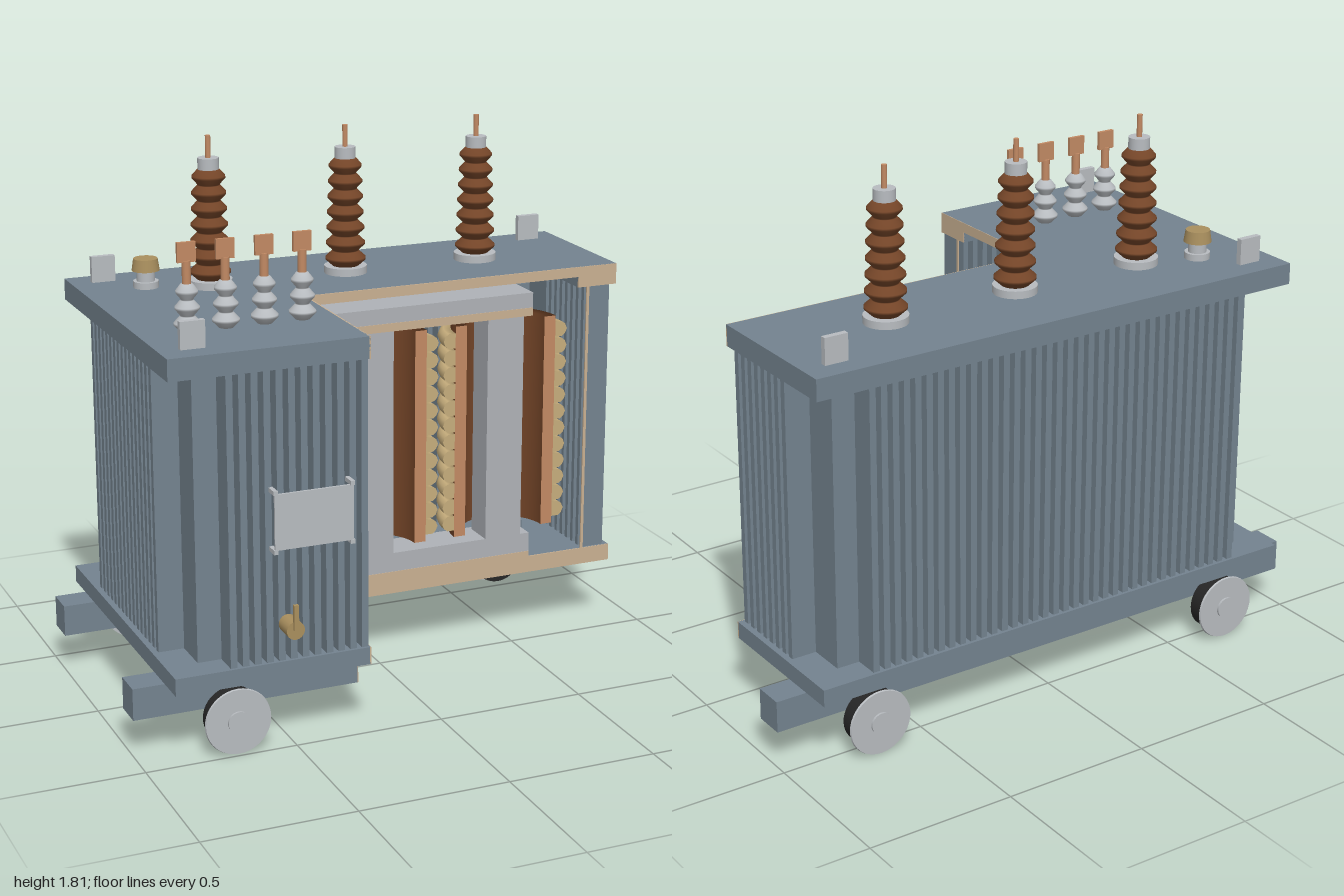
import * as THREE from 'three';

const mat = (name, color, side = THREE.FrontSide) => {
  const m = new THREE.MeshStandardMaterial({ color, side });
  m.name = name;
  return m;
};

export function createModel() {
  const root = new THREE.Group();
  const steel = mat('blue grey steel', 0x74838f, THREE.DoubleSide);
  const section = mat('cut face tan', 0xc9b092);
  const coreGrey = mat('core grey', 0xafb2b7);
  const metal = mat('light metal', 0xb8bcc0);
  const copper = mat('copper', 0xc28a64);
  const winding = mat('winding tan', 0xc6ad7c);
  const brown = mat('brown glaze', 0x744528);
  const brass = mat('brass', 0xa98f5e);
  const rubber = mat('black rubber', 0x262626);

  const ZC = -0.04;      // middle plane, also the long cut
  const XC = -0.245;     // short cut

  const add = (name, geo, m, x = 0, y = 0, z = 0, parent = root) => {
    const mesh = new THREE.Mesh(geo, m);
    mesh.name = name;
    mesh.position.set(x, y, z);
    parent.add(mesh);
    return mesh;
  };
  // Box given by its limits
  const box = (name, m, x0, x1, y0, y1, z0, z1) =>
    add(name, new THREE.BoxGeometry(x1 - x0, y1 - y0, z1 - z0), m, (x0 + x1) / 2, (y0 + y1) / 2, (z0 + z1) / 2);
  const cyl = (name, m, r, y0, y1, x, z, seg = 24, r2 = r) =>
    add(name, new THREE.CylinderGeometry(r2, r, y1 - y0, seg), m, x, (y0 + y1) / 2, z);
  // Horizontal plate from an x/z outline
  const plate = (name, m, pts, y0, y1) => {
    const shape = new THREE.Shape(pts.map(([x, z]) => new THREE.Vector2(x, -z)));
    const geo = new THREE.ExtrudeGeometry(shape, { depth: y1 - y0, bevelEnabled: false });
    return add(name, geo.rotateX(-Math.PI / 2), m, 0, y0, 0);
  };
  const rod = (name, m, a, b, r) => {
    const path = new THREE.LineCurve3(new THREE.Vector3(...a), new THREE.Vector3(...b));
    return add(name, new THREE.TubeGeometry(path, 1, r, 10), m);
  };
  const cutX = (name, y0, y1, z0, z1) => box(name, section, XC - 0.003, XC + 0.002, y0, y1, z0, z1);
  const cutZ = (name, x0, x1, y0, y1) => box(name, section, x0, x1, y0, y1, ZC - 0.003, ZC + 0.002);

  // Base, lid and the flange ring under the lid, all with the corner cut out
  const outline = [[0.895, ZC], [0.895, -0.575], [-0.895, -0.575], [-0.895, 0.495], [XC, 0.495], [XC, ZC]];
  plate('basePlate', steel, outline, 0.232, 0.29);
  plate('lid', steel, outline, 1.274, 1.308);
  plate('topFlange', steel, [...outline.slice(0, 5), [XC, 0.36], [-0.75, 0.36], [-0.75, -0.44], [0.75, -0.44], [0.75, ZC]], 1.237, 1.274);
  cutZ('baseCutLong', XC, 0.895, 0.232, 0.29);
  cutX('baseCutShort', 0.232, 0.29, ZC, 0.495);
  cutZ('lidCutLong', XC, 0.895, 1.274, 1.308);
  cutX('lidCutShort', 1.274, 1.308, ZC, 0.495);
  cutZ('flangeCutLong', 0.75, 0.895, 1.237, 1.274);
  cutX('flangeCutShort', 1.237, 1.274, 0.36, 0.495);

  // Corrugated tank wall: one folded sheet with hollow fins
  const plan = [];
  const wall = (x, z, dx, dz, length, first, count) => {
    const put = (u, out) => plan.push([x + dx * u - dz * out, z + dz * u + dx * out]);
    put(0, 0);
    for (let i = 0; i < count; i++) {
      const u = first + i * 0.04;
      put(u - 0.011, 0); put(u - 0.011, 0.085); put(u + 0.011, 0.085); put(u + 0.011, 0);
    }
    put(length, 0);
  };
  wall(0.79, ZC, 0, -1, 0.44, 0.02, 8);
  wall(0.79, -0.48, -1, 0, 1.58, 0.09, 36);
  wall(-0.79, -0.48, 0, 1, 0.88, 0.14, 16);
  wall(-0.79, 0.40, 1, 0, 0.545, 0.09, 12);
  const pos = [];
  for (let i = 0; i + 1 < plan.length; i++) {
    const [ax, az] = plan[i], [bx, bz] = plan[i + 1];
    if (Math.hypot(bx - ax, bz - az) < 1e-6) continue;
    pos.push(ax, 0.29, az, ax, 1.237, az, bx, 1.237, bz, ax, 0.29, az, bx, 1.237, bz, bx, 0.29, bz);
  }
  const sheet = new THREE.BufferGeometry();
  sheet.setAttribute('position', new THREE.Float32BufferAttribute(pos, 3));
  sheet.computeVertexNormals();
  add('corrugatedTank', sheet, steel);
  cutZ('tankCutRight', 0.783, 0.793, 0.29, 1.237);
  cutX('tankCutFront', 0.29, 1.237, 0.393, 0.403);

  // Rails
  box('backRail', steel, -1, 1, 0.126, 0.232, -0.467, -0.363);
  box('frontRail', steel, -1, XC, 0.126, 0.232, 0.283, 0.387);
  cutX('railCut', 0.126, 0.232, 0.283, 0.387);

  // Wheels with an outer rim disc
  for (const [x, z, s] of [[-0.69, 0.335, 1], [-0.69, -0.415, -1], [0.69, -0.415, -1]]) {
    const wheel = new THREE.Group();
    wheel.name = 'wheel';
    wheel.position.set(x, 0.11, z);
    wheel.rotation.x = s * Math.PI / 2;
    root.add(wheel);
    add('tyre', new THREE.CylinderGeometry(0.094, 0.094, 0.066, 40), rubber, 0, 0.118, 0, wheel);
    add('rimDisc', new THREE.CylinderGeometry(0.108, 0.11, 0.006, 40), metal, 0, 0.152, 0, wheel);
    add('hub', new THREE.CylinderGeometry(0.036, 0.036, 0.01, 24), metal, 0, 0.157, 0, wheel);
    add('innerHub', new THREE.CylinderGeometry(0.04, 0.04, 0.06, 24), metal, 0, 0.07, 0, wheel);
  }

  // Iron core: full on the closed side, halved at the cut
  for (const [x0, x1, front] of [[-0.58, XC, 0.09], [XC, 0.58, ZC]]) {
    box('topYoke', coreGrey, x0, x1, 1.157, 1.237, -0.17, front);
    box('bottomYoke', coreGrey, x0, x1, 0.31, 0.377, -0.17, front);
    box('coreFoot', steel, x0, x1, 0.29, 0.31, -0.17, front);
  }
  for (const x of [-0.48, 0, 0.48])
    box('coreLimb', coreGrey, x - 0.067, x + 0.067, 0.37, 1.165, -0.15, x < XC ? 0.07 : ZC);
  cutZ('topClampCut', XC, 0.58, 1.157, 1.185);
  cutZ('footCut', XC, 0.58, 0.29, 0.31);
  cutX('topYokeCut', 1.16, 1.19, ZC, 0.09);
  cutX('footCutShort', 0.29, 0.31, ZC, 0.09);
  box('topClamp', steel, -0.62, 0.62, 1.165, 1.235, -0.22, -0.17);
  box('bottomClamp', steel, -0.62, 0.62, 0.305, 0.375, -0.22, -0.17);

  // Windings: a closed ring profile turned fully or by half, with caps on the cut
  const ring = (name, m, capMat, pts, x, y, full) => {
    const profile = pts.map(([r, h]) => new THREE.Vector2(r, h));
    const geo = new THREE.LatheGeometry([...profile, profile[0]], full ? 48 : 28, full ? 0 : Math.PI / 2, full ? Math.PI * 2 : Math.PI);
    add(name, geo, m, x, y, ZC);
    if (full) return;
    for (const s of [1, -1]) {
      const cap = new THREE.Shape(profile.map(p => new THREE.Vector2(p.x * s, p.y)));
      add(name + 'Cut', new THREE.ShapeGeometry(cap), capMat, x, y, ZC);
    }
  };
  const h = 0.026;
  const disc = [[0.187, -h], [0.212, -h], [0.224, -h * 0.65], [0.231, 0], [0.224, h * 0.65], [0.212, h], [0.187, h]];
  const sleeve = [[0.145, 0.402], [0.187, 0.402], [0.187, 1.148], [0.145, 1.148]];
  for (const x of [-0.48, 0, 0.48]) {
    const full = x < XC;
    ring('innerWinding', brown, copper, sleeve, x, 0, full);
    for (let i = 0; i < 12; i++) ring('outerWindingDisc', winding, winding, disc, x, 0.452 + i * 0.0588, full);
  }

  // Ribbed insulator with tapering sheds
  const insulator = (name, m, x, z, y0, y1, sheds, rBase, rTop, core) => {
    const pts = [new THREE.Vector2(0, y0)];
    const step = (y1 - y0) / sheds;
    for (let i = 0; i < sheds; i++) {
      const r = rBase + (rTop - rBase) * i / (sheds - 1);
      const y = y0 + i * step;
      pts.push(new THREE.Vector2(r * core, y), new THREE.Vector2(r, y + step * 0.4),
        new THREE.Vector2(r, y + step * 0.55), new THREE.Vector2(r * core, y + step * 0.95));
    }
    pts.push(new THREE.Vector2(0, y1));
    add(name, new THREE.LatheGeometry(pts, 28), m, x, 0, z);
  };

  // Tall bushings
  for (const x of [-0.48, 0, 0.48]) {
    const z = -0.292;
    cyl('bushingFlange', metal, 0.072, 1.308, 1.333, x, z, 32);
    insulator('tallInsulator', brown, x, z, 1.333, 1.70, 7, 0.068, 0.055, 0.66);
    cyl('bushingCap', metal, 0.035, 1.69, 1.735, x, z);
    cyl('terminalRod', copper, 0.009, 1.73, 1.808, x, z, 12);
    cyl('innerLead', copper, 0.009, 1.19, 1.308, x, z, 12);
  }

  // Short bushings with flag terminals and leads down to the coil
  [-0.735, -0.61, -0.483, -0.357].forEach((x, i) => {
    const z = 0.218;
    insulator('shortInsulator', metal, x, z, 1.308, 1.46, 3, 0.043, 0.035, 0.55);
    cyl('flagStem', copper, 0.014, 1.45, 1.53, x, z, 14);
    box('flagTerminal', copper, x - 0.03, x + 0.03, 1.525, 1.588, z - 0.006, z + 0.006);
    rod('lowLead', copper, [x, 1.28, z], [-0.54 + i * 0.04, 1.135, 0.14], 0.012);
  });

  // Oil filler
  cyl('fillerFlange', metal, 0.042, 1.308, 1.33, -0.68, -0.36);
  cyl('fillerNeck', metal, 0.03, 1.33, 1.37, -0.68, -0.36);
  cyl('fillerCap', brass, 0.046, 1.365, 1.405, -0.68, -0.36, 24, 0.04);

  // Lifting lugs
  for (const [x, z] of [[-0.787, -0.49], [0.78, -0.49], [-0.787, 0.408]])
    box('liftingLug', metal, x - 0.04, x + 0.04, 1.308, 1.395, z - 0.01, z + 0.01);

  // Blank rating plate on four standoffs
  box('ratingPlate', metal, -0.575, -0.315, 0.672, 0.853, 0.519, 0.527);
  for (const x of [-0.572, -0.318]) for (const y of [0.667, 0.858])
    box('plateStandoff', metal, x - 0.007, x + 0.007, y - 0.007, y + 0.007, 0.48, 0.529);

  // Drain valve
  rod('valvePipe', brass, [-0.525, 0.415, 0.47], [-0.525, 0.415, 0.565], 0.02);
  const body = add('valveBody', new THREE.CylinderGeometry(0.03, 0.03, 0.07, 20), brass, -0.525, 0.417, 0.53);
  body.rotation.x = Math.PI / 2;
  box('valveHandle', brass, -0.533, -0.517, 0.42, 0.503, 0.561, 0.573);

  return root;
}
